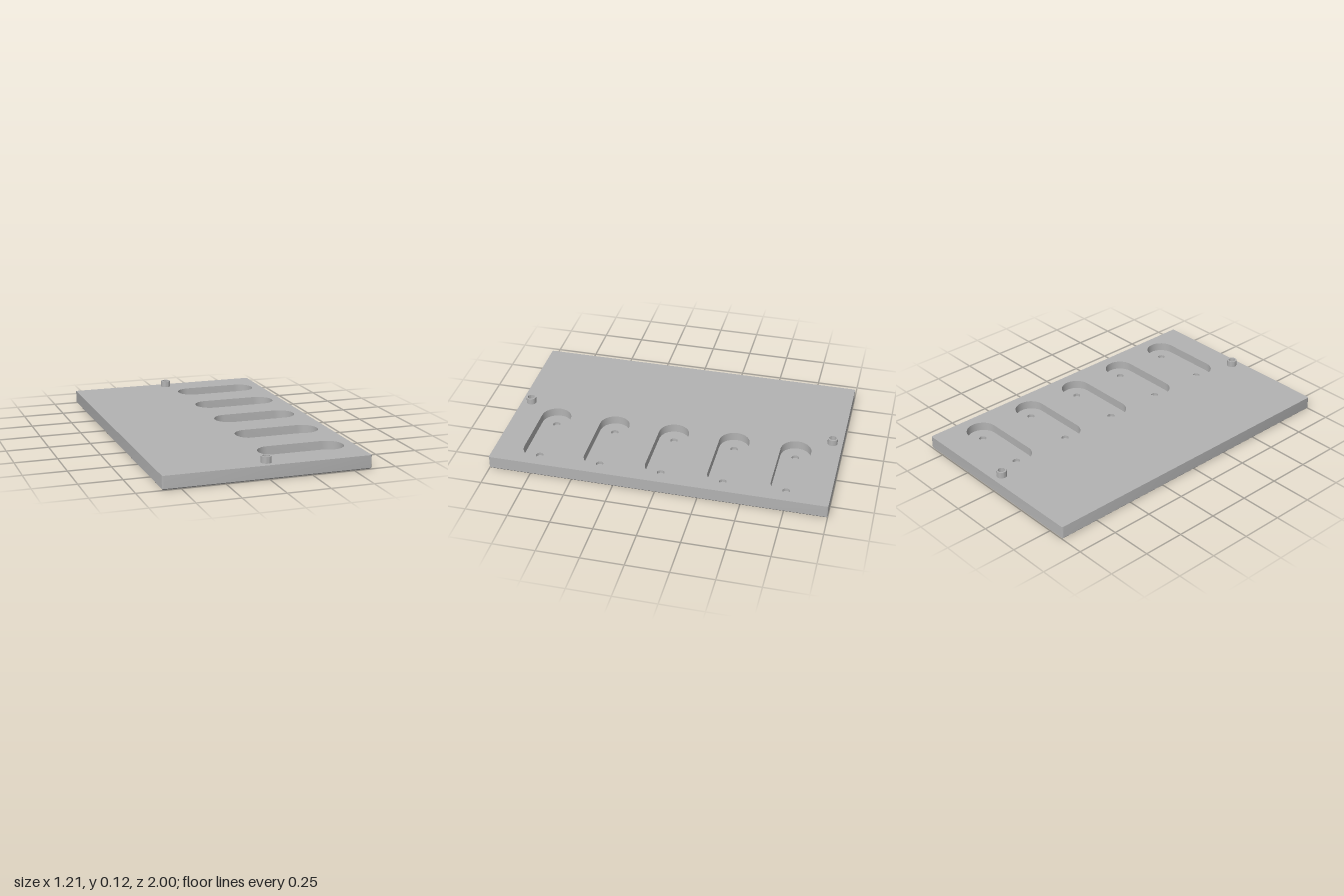
import * as THREE from 'three';
import { mergeGeometries, toCreasedNormals } from 'three/addons/utils/BufferGeometryUtils.js';

const TOP = 0.08, FLOOR = 0.028;

// Closed rounded outline in the x-z plane: a box, capsule or circle
function outline(cx, cz, hx, hz, r, steps = 10) {
  const pts = [];
  [[1, 1], [-1, 1], [-1, -1], [1, -1]].forEach(([sx, sz], k) => {
    for (let i = 0; i <= steps; i++) {
      const a = (k + i / steps) * Math.PI / 2;
      const p = new THREE.Vector2(
        cx + sx * (hx - r) + r * Math.cos(a),
        cz + sz * (hz - r) + r * Math.sin(a));
      if (pts.every(q => q.distanceTo(p) > 1e-5)) pts.push(p);
    }
  });
  return pts;
}
const circle = (x, z, r) => outline(x, z, r, r, r, 8);

// Flat face with holes, facing up or down
function sheet(edge, holes, y, up) {
  const shape = new THREE.Shape(edge);
  shape.holes = holes.map(h => new THREE.Path(h));
  const g = new THREE.ShapeGeometry(shape).toNonIndexed();
  // mirror z first so that the upward face keeps its layout
  if (up) {
    g.scale(1, -1, 1);
    const p = g.attributes.position;
    for (let i = 0; i < p.count; i += 3) {
      const a = new THREE.Vector3().fromBufferAttribute(p, i + 1);
      const b = new THREE.Vector3().fromBufferAttribute(p, i + 2);
      p.setXYZ(i + 1, b.x, b.y, b.z);
      p.setXYZ(i + 2, a.x, a.y, a.z);
    }
  }
  g.rotateX(up ? -Math.PI / 2 : Math.PI / 2).translate(0, y, 0);
  g.deleteAttribute('uv');
  g.computeVertexNormals();
  return g;
}

// Band between two outlines; inward turns it into the wall of a hole
function wall(low, y0, high, y1, inward = false) {
  const pos = [];
  low.forEach((a, i) => {
    const j = (i + 1) % low.length;
    const A = [a.x, y0, a.y], B = [high[i].x, y1, high[i].y];
    const C = [low[j].x, y0, low[j].y], D = [high[j].x, y1, high[j].y];
    if (inward) pos.push(...A, ...C, ...B, ...C, ...D, ...B);
    else pos.push(...A, ...B, ...C, ...C, ...B, ...D);
  });
  const g = new THREE.BufferGeometry();
  g.setAttribute('position', new THREE.Float32BufferAttribute(pos, 3));
  g.computeVertexNormals();
  return g;
}

export function createModel() {
  const group = new THREE.Group();
  const grey = new THREE.MeshStandardMaterial({ color: 0xb3b3b3 });
  grey.name = 'grey';
  const add = (name, parts) => {
    const mesh = new THREE.Mesh(toCreasedNormals(mergeGeometries(parts), 0.6), grey);
    mesh.name = name;
    group.add(mesh);
  };

  const side = outline(0, 0, 0.605, 1, 0.008, 3);
  const base = outline(0, 0, 0.599, 0.994, 0.002, 3);
  const slotZ = [-0.74, -0.37, 0, 0.37, 0.74];
  const slots = slotZ.map(z => outline(0.287, z, 0.257, 0.091, 0.091));
  const feet = [[1, 1], [-1, 1], [-1, -1], [1, -1]]
    .map(([sx, sz]) => circle(sx * 0.553, sz * 0.948, 0.018));

  // Plate with a softened lower edge
  add('plate', [
    sheet(side, slots, TOP, true),
    wall(side, 0.007, side, TOP),
    wall(base, 0, side, 0.007),
    sheet(base, feet, 0, false),
  ]);

  // Long pockets, each with two small holes in its floor
  slots.forEach((slot, i) => {
    const holes = [0.124, 0.45].map(x => circle(x, slotZ[i], 0.022));
    add('pocket', [
      wall(slot, FLOOR, slot, TOP, true),
      sheet(slot, holes, FLOOR, true),
      ...holes.flatMap(h => [
        wall(h, 0.01, h, FLOOR, true),
        sheet(h, [], 0.01, true),
      ]),
    ]);
  });

  // Blind holes in the underside corners
  feet.forEach(f => add('cornerHole', [
    wall(f, 0, f, 0.055, true),
    sheet(f, [], 0.055, false),
  ]));

  // Hollow locating pins at both ends
  for (const z of [-0.94, 0.94]) {
    const outer = circle(0, z, 0.03), inner = circle(0, z, 0.021);
    add('pin', [
      wall(outer, TOP, outer, 0.118),
      sheet(outer, [inner], 0.118, true),
      wall(inner, TOP + 0.002, inner, 0.118, true),
      sheet(inner, [], TOP + 0.002, true),
    ]);
  }
  return group;
}
